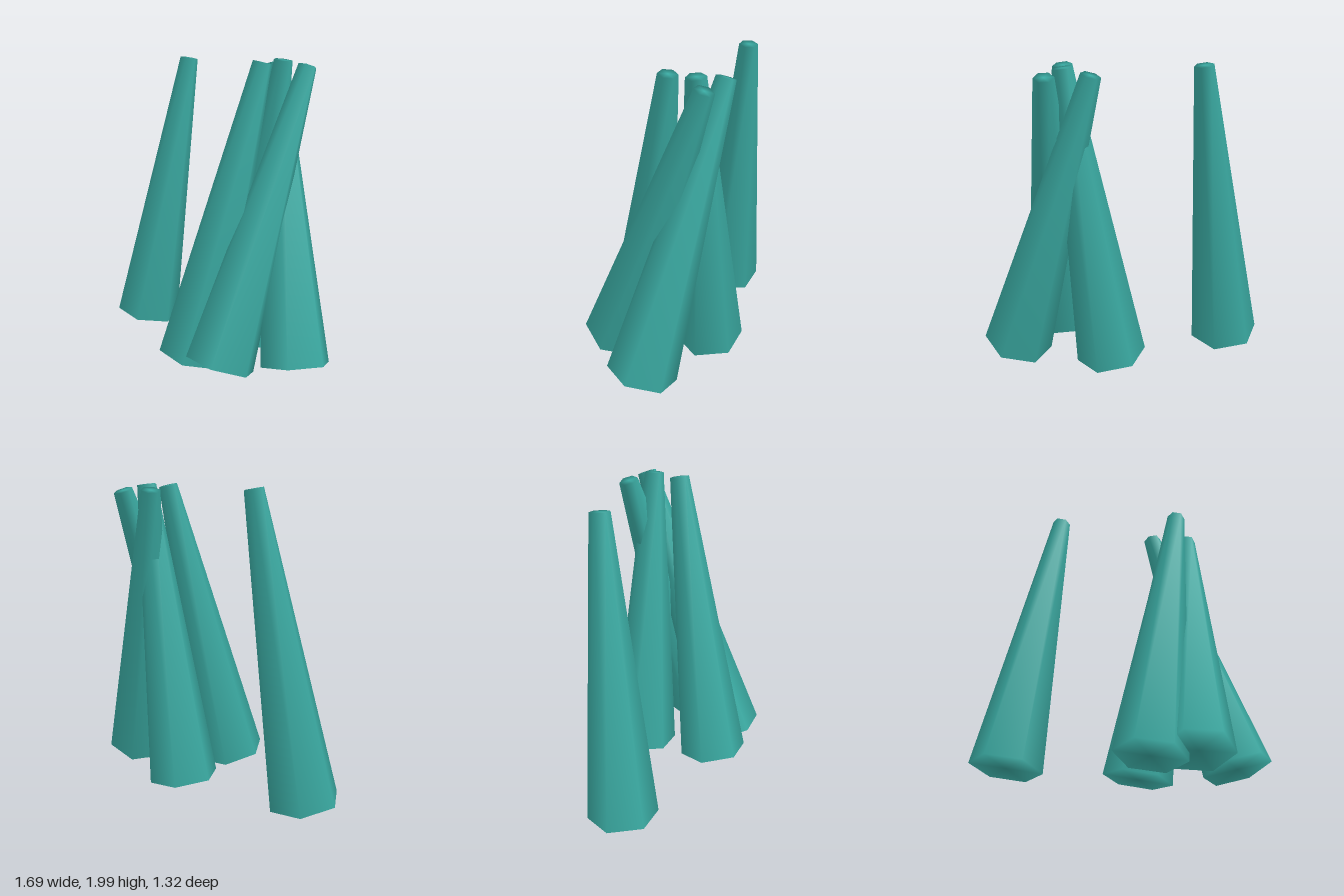
import * as THREE from 'three';
import { mergeVertices } from 'three/addons/utils/BufferGeometryUtils.js';

// Base and tip centres of each leaning six-sided spike
const SPIKES = [
  { name: 'loneSpike', base: [-0.65, 0.045, -0.435], tip: [-0.315, 1.985, -0.48] },
  { name: 'leftFrontSpike', base: [-0.05, 0.058, 0.27], tip: [0.35, 1.98, 0.075] },
  { name: 'frontSpike', base: [0.185, 0.09, 0.43], tip: [0.60, 1.952, -0.115] },
  { name: 'rightSpike', base: [0.64, 0.075, 0.265], tip: [0.37, 1.962, -0.26] },
  { name: 'backSpike', base: [0.19, 0.042, -0.21], tip: [0.45, 1.99, -0.08] },
];

// Tapered hexagonal prism whose caps share smooth normals with the sides
function spikeGeometry(length) {
  const g = new THREE.CylinderGeometry(0.063, 0.233, length, 6);
  g.deleteAttribute('uv');
  g.deleteAttribute('normal');
  const merged = mergeVertices(g, 1e-4);
  merged.computeVertexNormals();
  return merged;
}

export function createModel() {
  const model = new THREE.Group();
  model.name = 'spikeCluster';
  const teal = new THREE.MeshStandardMaterial({ color: 0x3aaaa2 });
  teal.name = 'teal';
  const up = new THREE.Vector3(0, 1, 0);

  for (const { name, base, tip } of SPIKES) {
    const a = new THREE.Vector3(...base);
    const b = new THREE.Vector3(...tip);
    const axis = b.clone().sub(a);
    const spike = new THREE.Mesh(spikeGeometry(axis.length()), teal);
    spike.name = name;
    spike.position.copy(a).add(b).multiplyScalar(0.5);
    spike.quaternion.setFromUnitVectors(up, axis.normalize());
    model.add(spike);
  }
  return model;
}
